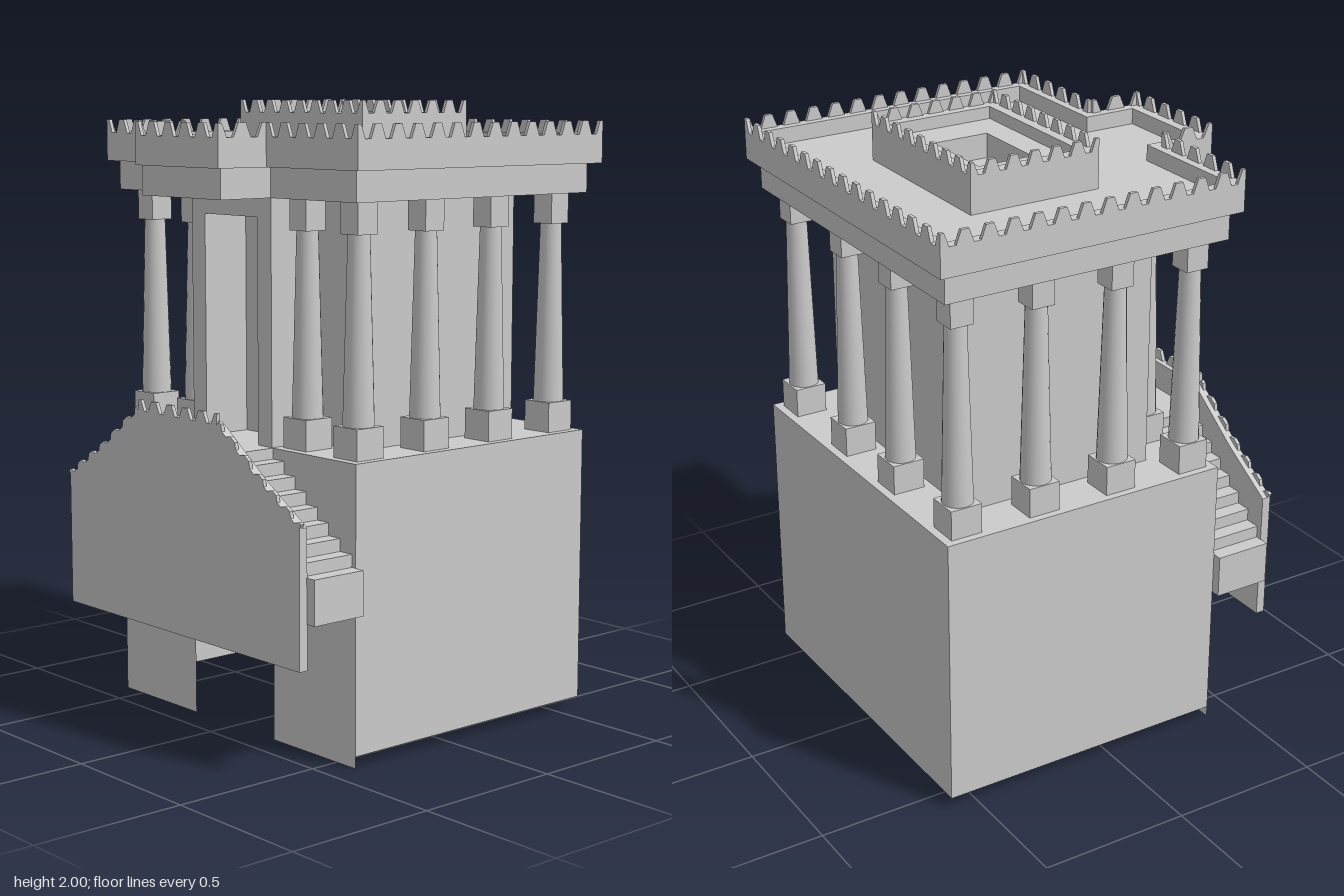
import * as THREE from 'three';

const grey = new THREE.MeshStandardMaterial({ color: 0xcccccc, side: THREE.DoubleSide });

function add(parent, name, geometry, x = 0, y = 0, z = 0) {
  const mesh = new THREE.Mesh(geometry, grey);
  mesh.name = name;
  mesh.position.set(x, y, z);
  parent.add(mesh);
  return mesh;
}

function group(parent, name) {
  const g = new THREE.Group();
  g.name = name;
  parent.add(g);
  return g;
}

// Box given by its extents
function block(parent, name, x0, x1, y0, y1, z0, z1) {
  return add(parent, name, new THREE.BoxGeometry(x1 - x0, y1 - y0, z1 - z0),
    (x0 + x1) / 2, (y0 + y1) / 2, (z0 + z1) / 2);
}

const rect = (x0, x1, z0, z1) => [[x0, z1], [x1, z1], [x1, z0], [x0, z0]];

// T-shaped plan: main rectangle with a projection at the front
const plan = (x0, x1, z0, z1, px0, px1, pz) => [
  [x0, z1], [px0, z1], [px0, pz], [px1, pz], [px1, z1], [x1, z1], [x1, z0], [x0, z0]];

// Horizontal slab from an (x, z) outline, with an optional hole
function slab(parent, name, outline, y0, y1, hole) {
  const points = (list) => list.map(([x, z]) => new THREE.Vector2(x, -z));
  const shape = new THREE.Shape(points(outline));
  if (hole) shape.holes.push(new THREE.Path(points(hole)));
  const geometry = new THREE.ExtrudeGeometry(shape, { depth: y1 - y0, bevelEnabled: false });
  return add(parent, name, geometry.rotateX(-Math.PI / 2), 0, y0, 0);
}

// Thin strip of pointed battlements along p -> q, flush with the outer side
function battlement(parent, p, q, height, pitch) {
  const dir = q.clone().sub(p);
  const length = dir.length();
  dir.normalize();
  const out = dir.clone().cross(new THREE.Vector3(0, 1, 0)).normalize();
  const up = out.clone().cross(dir);
  const n = Math.max(1, Math.round(length / pitch));
  const step = length / n;
  const shape = new THREE.Shape();
  shape.moveTo(0, -0.008);
  shape.lineTo(0, height);
  for (let i = 0; i < n; i++) {
    const a = i * step;
    shape.lineTo(a + step * 0.16, height);
    shape.lineTo(a + step * 0.36, 0);
    shape.lineTo(a + step * 0.64, 0);
    shape.lineTo(a + step * 0.84, height);
  }
  shape.lineTo(length, height);
  shape.lineTo(length, -0.008);
  const geometry = new THREE.ExtrudeGeometry(shape, { depth: 0.012, bevelEnabled: false });
  geometry.translate(0, 0, -0.012);
  geometry.applyMatrix4(new THREE.Matrix4().makeBasis(dir, up, out).setPosition(p));
  return add(parent, 'battlement', geometry);
}

function battlementLoop(parent, outline, y, height, pitch) {
  outline.forEach(([x, z], i) => {
    const [x2, z2] = outline[(i + 1) % outline.length];
    battlement(parent, new THREE.Vector3(x, y, z), new THREE.Vector3(x2, y, z2), height, pitch);
  });
}

// Square-footed tapering column
function column(parent, x, z) {
  const c = group(parent, 'column');
  block(c, 'columnBase', x - 0.053, x + 0.053, 0.935, 1.032, z - 0.053, z + 0.053);
  add(c, 'columnShaft', new THREE.CylinderGeometry(0.034, 0.049, 0.58, 20), x, 1.32, z);
  block(c, 'columnCapital', x - 0.039, x + 0.039, 1.608, 1.706, z - 0.039, z + 0.039);
}

export function createModel() {
  const model = new THREE.Group();
  model.name = 'columnedTower';

  // Hollow podium, open below, with a doorway in the front wall
  const podium = group(model, 'podium');
  const front = new THREE.Shape([[-0.588, 0], [-0.2, 0], [-0.2, 0.795], [0.2, 0.795], [0.2, 0],
    [0.585, 0], [0.585, 0.935], [-0.588, 0.935]].map(([x, y]) => new THREE.Vector2(x, y)));
  add(podium, 'frontWall', new THREE.ShapeGeometry(front), 0, 0, 0.402);
  const wide = 1.173, deep = 0.992, high = 0.898, midY = 0.486;
  add(podium, 'backWall', new THREE.PlaneGeometry(wide, high), -0.0015, midY, -0.59).rotation.y = Math.PI;
  for (const [x, turn] of [[0.585, 1], [-0.588, -1]]) {
    add(podium, 'sideWall', new THREE.PlaneGeometry(deep, high), x, midY, -0.094).rotation.y = turn * Math.PI / 2;
  }
  add(podium, 'terrace', new THREE.PlaneGeometry(wide, deep), -0.0015, 0.935, -0.094).rotation.x = -Math.PI / 2;

  // Two flights of floating steps meeting at a landing
  const stairs = group(model, 'stairs');
  block(stairs, 'landing', -0.2, 0.2, 0.795, 0.935, 0.402, 0.592);
  for (const side of [-1, 1]) {
    for (let i = 0; i < 8; i++) {
      const x = side * (0.226 + i * 0.0525), top = 0.9 - i * 0.04;
      block(stairs, 'step', x - 0.0263, x + 0.0263, top - 0.14, top, 0.402, 0.594);
    }
  }

  // Stair screen with sloping shoulders and a toothed top
  const screen = group(model, 'stairScreen');
  const top = [[-0.588, 0.77], [-0.4, 0.885], [-0.2, 1.03], [0.2, 1.03], [0.4, 0.885], [0.585, 0.77]];
  const panel = new THREE.Shape([[-0.588, 0.34], ...top, [0.585, 0.34]].map(([x, y]) => new THREE.Vector2(x, y)));
  add(screen, 'screenPanel', new THREE.ExtrudeGeometry(panel, { depth: 0.03, bevelEnabled: false }), 0, 0, 0.592);
  for (let i = 0; i < 5; i++) {
    const [a, b] = [top[i], top[i + 1]].map(([x, y]) => new THREE.Vector3(x, y, 0.622));
    battlement(screen, a, b, i === 2 ? 0.034 : 0.016, 0.074);
  }

  // Inner chamber with a porch and a recessed doorway
  const chamber = group(model, 'chamber');
  block(chamber, 'chamberBody', -0.425, 0.418, 0.935, 1.706, -0.428, 0.237);
  for (const [x0, x1] of [[-0.2, -0.133], [0.128, 0.195]]) {
    block(chamber, 'porchPier', x0, x1, 0.935, 1.706, 0.237, 0.402);
  }
  block(chamber, 'porchLintel', -0.133, 0.128, 1.645, 1.706, 0.237, 0.402);

  // Colonnade around the terrace
  const colonnade = group(model, 'colonnade');
  for (const x of [-0.51, -0.275, 0.27, 0.505]) column(colonnade, x, 0.32);
  for (const x of [-0.51, -0.16, 0.155, 0.505]) column(colonnade, x, -0.51);
  for (const z of [0.045, -0.235]) {
    for (const x of [-0.51, 0.505]) column(colonnade, x, z);
  }

  // Entablature and roof terrace with its parapet
  const roof = group(model, 'roof');
  slab(roof, 'entablature', plan(-0.59, 0.585, -0.59, 0.402, -0.2, 0.193, 0.595), 1.706, 1.8);
  const outer = plan(-0.625, 0.62, -0.622, 0.428, -0.21, 0.205, 0.613);
  const inner = plan(-0.588, 0.583, -0.583, 0.388, -0.172, 0.167, 0.568);
  slab(roof, 'roofDeck', outer, 1.8, 1.84);
  slab(roof, 'parapet', outer, 1.84, 1.892, inner);
  battlementLoop(roof, outer, 1.892, 0.043, 0.082);

  // Raised centre with a sunken opening
  const lantern = group(model, 'raisedCentre');
  const lanternOuter = rect(-0.315, 0.287, -0.34, 0.11);
  slab(lantern, 'raisedFloor', lanternOuter, 1.84, 1.92, rect(-0.147, 0.118, -0.212, -0.022));
  slab(lantern, 'raisedRim', lanternOuter, 1.92, 1.96, rect(-0.272, 0.245, -0.298, 0.065));
  battlementLoop(lantern, lanternOuter, 1.96, 0.04, 0.075);

  return model;
}
